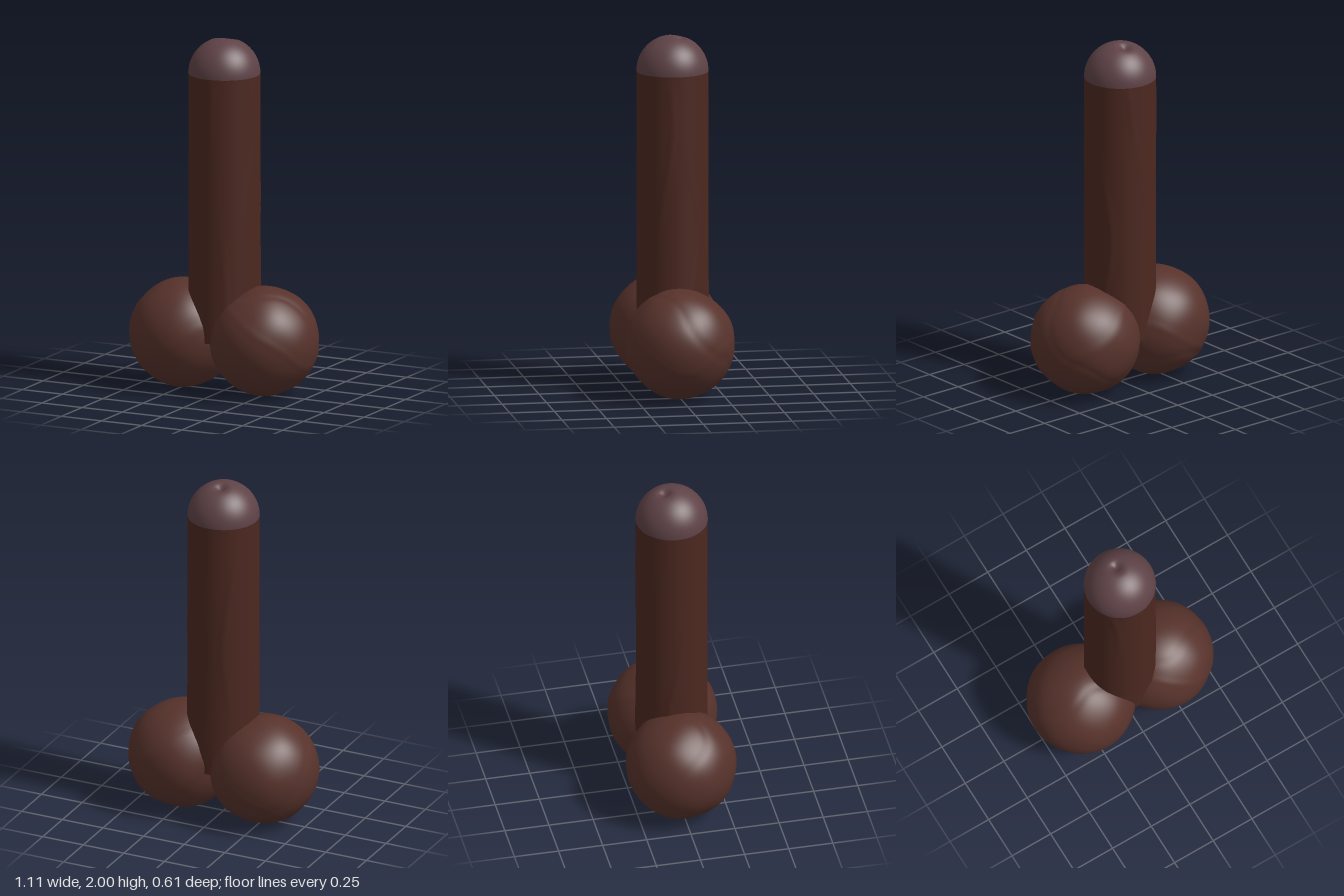
import * as THREE from 'three';
import { mergeVertices } from 'three/addons/utils/BufferGeometryUtils.js';

const bump = (d, w) => Math.exp(-(d * d) / (w * w));

// Moves every vertex by a rule, with seams welded so the shading stays smooth
function sculpt(geometry, rule) {
  geometry.deleteAttribute('uv');
  geometry.deleteAttribute('normal');
  const g = mergeVertices(geometry, 1e-5);
  const p = g.attributes.position;
  const v = new THREE.Vector3();
  for (let i = 0; i < p.count; i++) {
    v.fromBufferAttribute(p, i);
    rule(v);
    p.setXYZ(i, v.x, v.y, v.z);
  }
  g.computeVertexNormals();
  return g;
}

function part(name, geometry, color) {
  const mesh = new THREE.Mesh(geometry, new THREE.MeshStandardMaterial({ color, roughness: 0.9 }));
  mesh.name = name;
  return mesh;
}

// Upright column with faint wandering ridges
function makeColumn() {
  const bottom = 0.3, top = 1.8;
  const geo = new THREE.CylinderGeometry(0.199, 0.199, top - bottom, 96, 90, true);
  geo.translate(0, (top + bottom) / 2, 0);
  const ridges = [0.3, 1.2, 2.0, 2.9, 3.8, 4.6, 5.5];
  return sculpt(geo, v => {
    const a = Math.atan2(v.x, v.z);
    let d = 0;
    ridges.forEach((r, i) => {
      const path = r + 0.22 * Math.sin(v.y * (3 + (i % 3)) + i * 1.7);
      const gap = Math.atan2(Math.sin(a - path), Math.cos(a - path));
      d += 0.005 * bump(gap, 0.09) * (0.5 + 0.5 * Math.sin(v.y * 4 + i * 2.3));
    });
    const fade = Math.min(1, (top - v.y) / 0.08);
    const s = 1 + (d * fade) / 0.199;
    v.x *= s;
    v.z *= s;
  });
}

// Domed cap with a small dimple just behind its crown
function makeCap() {
  const geo = new THREE.SphereGeometry(0.2, 96, 64, 0, Math.PI * 2, 0, Math.PI / 2);
  return sculpt(geo, v => {
    const r = Math.hypot(v.x, v.z + 0.04);
    v.y -= 0.03 * bump(r, 0.035) * Math.min(1, v.y / 0.1);
    v.y += 1.8;
  });
}

// Base ball with shallow creases
function makeBall(side) {
  const geo = new THREE.SphereGeometry(0.305, 80, 56);
  return sculpt(geo, v => {
    const n = v.clone().normalize();
    const k = side * 1.3;
    const crease = bump(n.x * 0.5 + n.y * side * 0.8 - 0.25 + 0.12 * Math.sin(n.z * 4 + k), 0.06)
      - bump(n.z * 0.7 - n.y * 0.6 + 0.3 + 0.1 * Math.sin(n.x * 5 - k), 0.06);
    const swell = Math.sin(n.x * 5 + k) * Math.sin(n.y * 4 - k) * Math.sin(n.z * 5 + 0.7);
    v.multiplyScalar(1 + 0.009 * crease + 0.012 * swell);
    v.x += side * 0.25;
    v.y += 0.306;
  });
}

export function createModel() {
  const model = new THREE.Group();
  model.name = 'model';
  model.add(part('column', makeColumn(), 0x4c2820));

  // Closed underside of the column
  const underside = part('columnUnderside', new THREE.CircleGeometry(0.2, 96), 0x4c2820);
  underside.rotation.x = Math.PI / 2;
  underside.position.y = 0.3;
  model.add(underside);

  model.add(part('cap', makeCap(), 0x5e4246));
  model.add(part('leftBall', makeBall(1), 0x57322b));
  model.add(part('rightBall', makeBall(-1), 0x57322b));
  return model;
}
